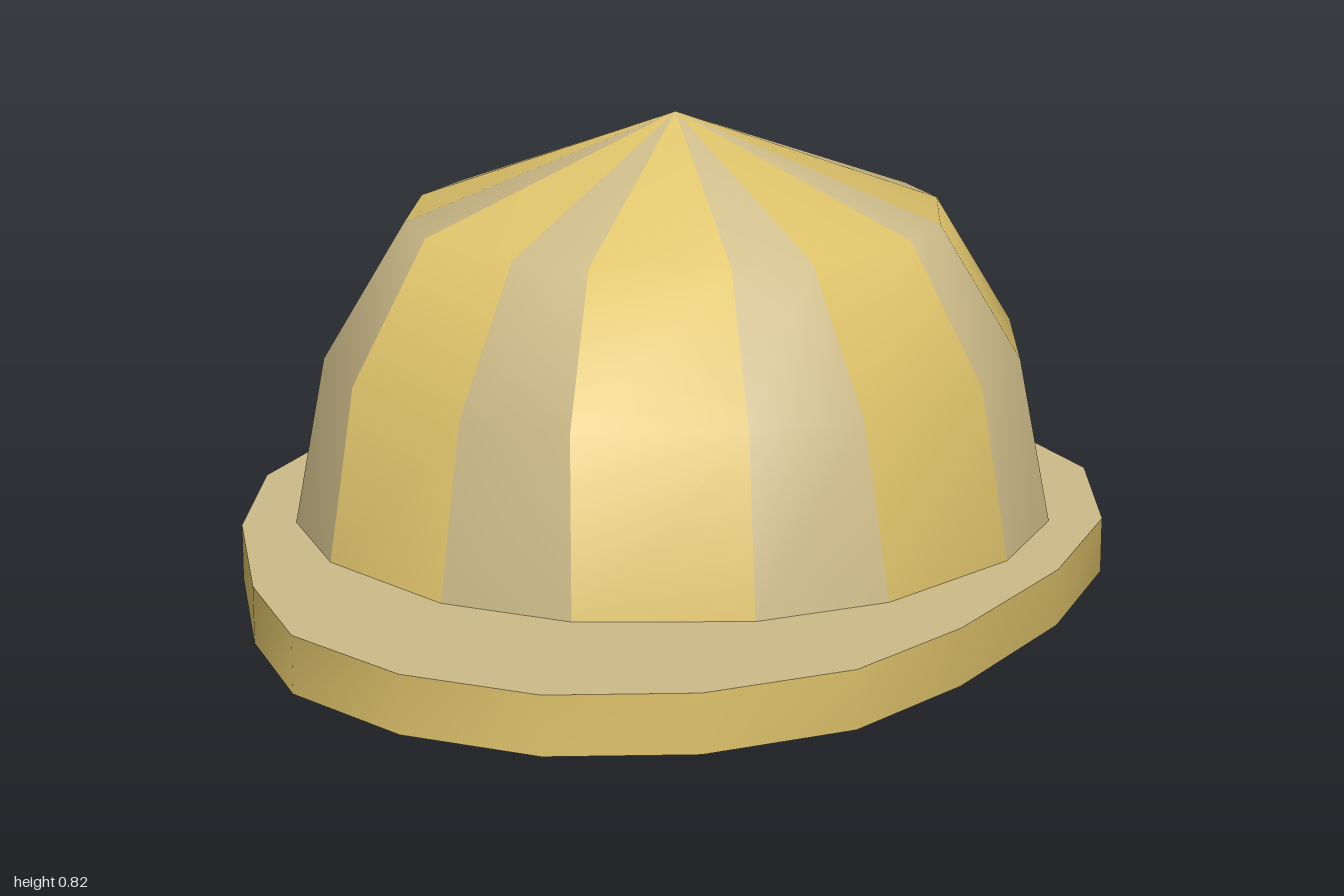
import * as THREE from 'three';

const yellow = new THREE.MeshStandardMaterial({ color: 0xdfc36b, side: THREE.DoubleSide });
yellow.name = 'yellow';
const tan = new THREE.MeshStandardMaterial({ color: 0xcdbb89, side: THREE.DoubleSide });
tan.name = 'tan';

const BRIM_TOP = 0.1;
const CENTRE_Z = -0.13;

function makeGeometry(positions, index) {
  const g = new THREE.BufferGeometry();
  g.setAttribute('position', new THREE.Float32BufferAttribute(positions, 3));
  g.setIndex(index);
  g.computeVertexNormals();
  return g;
}

function addMesh(group, name, geometry, material) {
  const mesh = new THREE.Mesh(geometry, material);
  mesh.name = name;
  group.add(mesh);
}

// Smooth vertical band around a closed outline of [x, z] points
function wall(points) {
  const pos = [], index = [], n = points.length;
  points.forEach(([x, z], i) => {
    pos.push(x, 0, z, x, BRIM_TOP, z);
    const a = 2 * i, b = 2 * ((i + 1) % n);
    index.push(a, b, b + 1, a, b + 1, a + 1);
  });
  return makeGeometry(pos, index);
}

// Flat ring between two outlines, facing up (dir = 1) or down (dir = -1)
function plate(outer, inner, dir, y) {
  const to2D = ([x, z]) => new THREE.Vector2(x, -dir * z);
  const shape = new THREE.Shape(outer.map(to2D));
  shape.holes.push(new THREE.Path(inner.map(to2D)));
  return new THREE.ShapeGeometry(shape).rotateX(-dir * Math.PI / 2).translate(0, y, 0);
}

// Eight smooth panels with hard seams between them, each half yellow and half tan
function domeGeometry() {
  // height, x radius, z radius, seam twist in degrees
  const rings = [
    [0.1, 0.692, 0.77, 2.5],
    [0.4, 0.636, 0.708, 4],
    [0.64, 0.49, 0.54, 5.6],
  ];
  const pos = [], halves = [[], []];
  for (let k = 0; k < 8; k++) {
    const base = pos.length / 3;
    for (const [y, rx, rz, twist] of rings) {
      for (const deg of [45 * k - twist, 45 * k + 22.5, 45 * (k + 1) - twist]) {
        const t = THREE.MathUtils.degToRad(deg);
        pos.push(rx * Math.sin(t), y, CENTRE_Z + rz * Math.cos(t));
      }
    }
    pos.push(0, 0.82, CENTRE_Z);
    for (let h = 0; h < 2; h++) {
      for (let r = 0; r < 2; r++) {
        const a = base + 3 * r + h;
        halves[h].push(a, a + 1, a + 4, a, a + 4, a + 3);
      }
      halves[h].push(base + 6 + h, base + 7 + h, base + 9);
    }
  }
  const g = makeGeometry(pos, halves.flat());
  g.addGroup(0, halves[0].length, 0);
  g.addGroup(halves[0].length, halves[1].length, 1);
  return g;
}

export function createModel() {
  const hat = new THREE.Group();
  hat.name = 'hat';

  // Brim outline, longer at the front
  const side = [[0.24, 0.945], [0.46, 0.79], [0.6, 0.55], [0.73, 0.2], [0.785, -0.13],
    [0.73, -0.47], [0.555, -0.745], [0.3, -0.94]];
  const mirrored = side.map(([x, z]) => [-x, z]).reverse();
  const outer = [[0, 1], ...side, [0, -1], ...mirrored];

  // Head opening
  const inner = [];
  for (let i = 0; i < 16; i++) {
    const t = i * Math.PI / 8;
    inner.push([0.65 * Math.sin(t), CENTRE_Z + 0.725 * Math.cos(t)]);
  }

  const brim = new THREE.Group();
  brim.name = 'brim';
  addMesh(brim, 'brimEdge', wall(outer), yellow);
  addMesh(brim, 'brimUnderside', plate(outer, inner, -1, 0), yellow);
  addMesh(brim, 'brimTop', plate(outer, inner, 1, BRIM_TOP), tan);
  addMesh(brim, 'headOpening', wall([...inner].reverse()), tan);
  hat.add(brim);

  addMesh(hat, 'crown', domeGeometry(), [yellow, tan]);
  return hat;
}
